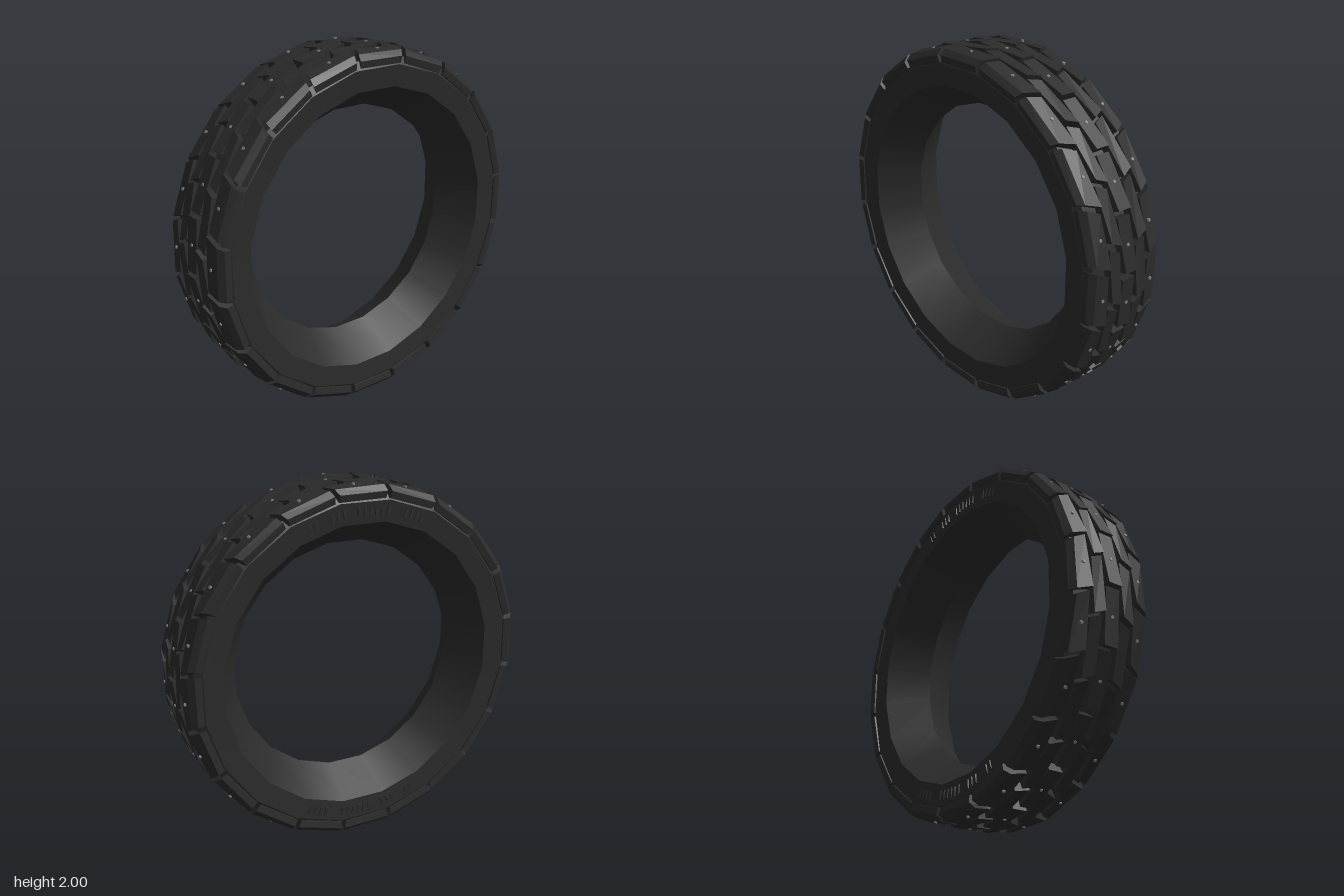
import * as THREE from 'three';

const COUNT = 20;
const STEP = (Math.PI * 2) / COUNT;
const DEG = Math.PI / 180;

const rubber = new THREE.MeshStandardMaterial({ color: 0x2b2b2b });
rubber.name = 'rubber';
const treadRubber = new THREE.MeshStandardMaterial({ color: 0x2b2b2b, flatShading: true });
treadRubber.name = 'treadRubber';
const metal = new THREE.MeshStandardMaterial({ color: 0x808080 });
metal.name = 'studMetal';

// Carcass cross-section as [radius, z], running once around the ring
const CARCASS = [
  [0.658, 0], [0.795, 0.225], [0.91, 0.236], [0.953, 0.212],
  [0.953, -0.212], [0.91, -0.236], [0.795, -0.225], [0.658, 0],
];

// Tread rows: section points are [z, radius, leans], counter-clockwise
const shoulder = [
  [0.14, 0.92, 1], [0.225, 0.915, 0], [0.24, 0.918, 0],
  [0.246, 0.955, 0], [0.218, 0.985, 0], [0.14, 0.996, 1],
];
const middle = [[0.057, 0.92, 1], [0.124, 0.92, 1], [0.124, 0.997, 1], [0.057, 0.999, 1]];
const centre = [[-0.042, 0.92, 1], [0.042, 0.92, 1], [0.042, 1, 1], [-0.042, 1, 1]];
const mirror = (section) => section.map(([z, r, k]) => [-z, r, k]).reverse();

const ROWS = [
  { name: 'centreTread', section: centre, phase: 11.5, sweep: 0, mid: 0, stud: 0 },
  { name: 'leftMiddleTread', section: middle, phase: 3, sweep: 25, mid: 0.09 },
  { name: 'rightMiddleTread', section: mirror(middle), phase: 3, sweep: 25, mid: 0.09 },
  { name: 'leftShoulderTread', section: shoulder, phase: 15.6, sweep: 25, mid: 0.185, stud: 0.175 },
  { name: 'rightShoulderTread', section: mirror(shoulder), phase: 15.6, sweep: 25, mid: 0.185, stud: -0.175 },
];

// Appends one skewed tread block, centred on the given angle
function addBlock(out, row, angle) {
  const half = 8.2 * DEG;
  const ring = (side) => row.section.map(([z, r, leans]) => {
    const a = angle + side * half + (Math.abs(z) - row.mid) * row.sweep * DEG;
    return [r * Math.cos(a), r * Math.sin(a), z + leans * side * 0.011];
  });
  const lo = ring(-1), hi = ring(1), n = lo.length;
  const tri = (a, b, c) => out.push(...a, ...b, ...c);
  for (let i = 0; i < n; i++) {
    const j = (i + 1) % n;
    tri(lo[i], lo[j], hi[j]);
    tri(lo[i], hi[j], hi[i]);
  }
  for (let i = 1; i < n - 1; i++) {
    tri(hi[0], hi[i], hi[i + 1]);
    tri(lo[0], lo[i + 1], lo[i]);
  }
}

function treadRow(row) {
  const positions = [];
  for (let i = 0; i < COUNT; i++) addBlock(positions, row, row.phase * DEG + i * STEP);
  const geometry = new THREE.BufferGeometry();
  geometry.setAttribute('position', new THREE.Float32BufferAttribute(positions, 3));
  geometry.computeVertexNormals();
  const mesh = new THREE.Mesh(geometry, treadRubber);
  mesh.name = row.name;
  return mesh;
}

// Each band is its own lathe: smooth around the ring, sharp between bands
function carcass() {
  const group = new THREE.Group();
  group.name = 'carcass';
  const names = ['frontInnerWall', 'frontSidewall', 'frontShoulder', 'treadBase',
    'backShoulder', 'backSidewall', 'backInnerWall'];
  names.forEach((name, i) => {
    const pts = [CARCASS[i], CARCASS[i + 1]].map(([r, z]) => new THREE.Vector2(r, -z));
    // lathe faces outward when its profile climbs along the axis
    const geometry = new THREE.LatheGeometry(pts, COUNT, STEP / 2);
    geometry.rotateX(-Math.PI / 2);
    const mesh = new THREE.Mesh(geometry, rubber);
    mesh.name = name;
    group.add(mesh);
  });
  return group;
}

// Small metal studs standing on the centre and shoulder blocks
function studs() {
  const group = new THREE.Group();
  group.name = 'studs';
  const geometry = new THREE.CylinderGeometry(0.009, 0.009, 0.03, 6);
  for (const row of ROWS) {
    if (row.stud === undefined) continue;
    for (let i = 0; i < COUNT; i++) {
      const a = row.phase * DEG + i * STEP;
      const r = row.stud ? 0.974 : 0.98;
      const stud = new THREE.Mesh(geometry, metal);
      stud.name = 'stud';
      stud.position.set(r * Math.cos(a), r * Math.sin(a), row.stud);
      stud.rotation.z = a - Math.PI / 2;
      group.add(stud);
    }
  }
  return group;
}

// Plain raised ribs on the back sidewall, above and below the opening
function sidewallRibs() {
  const group = new THREE.Group();
  group.name = 'sidewallRibs';
  const geometry = new THREE.BoxGeometry(0.016, 0.05, 0.012);
  const clusters = [[-23, 4], [-9, 6], [8, 3], [19, 2]]; // start angle, rib count
  for (const base of [90, 270]) {
    for (const [start, n] of clusters) {
      for (let i = 0; i < n; i++) {
        const a = (base - start - i * 2.3) * DEG;
        const rib = new THREE.Mesh(geometry, treadRubber);
        rib.name = 'rib';
        rib.position.set(0.853 * Math.cos(a), 0.853 * Math.sin(a), -0.232);
        rib.rotation.z = a - Math.PI / 2;
        group.add(rib);
      }
    }
  }
  return group;
}

export function createModel() {
  const tyre = new THREE.Group();
  tyre.name = 'tyre';
  tyre.add(carcass(), studs(), sidewallRibs(), ...ROWS.map(treadRow));
  tyre.position.y = 1;
  const model = new THREE.Group();
  model.name = 'studdedTyre';
  model.add(tyre);
  return model;
}
